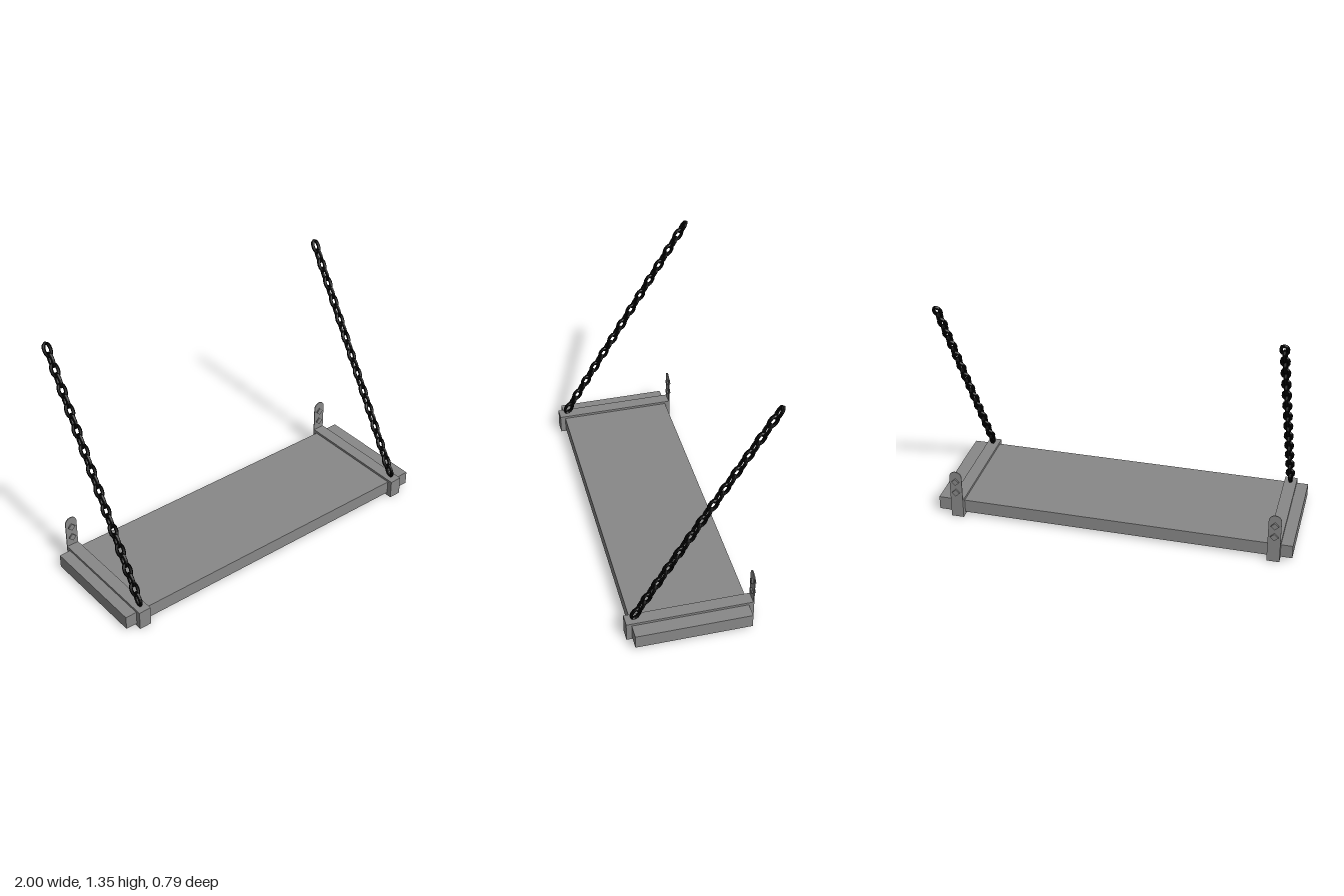
import * as THREE from 'three';

const steel = new THREE.MeshStandardMaterial({ color: 0x888888 });
const chainMaterial = new THREE.MeshStandardMaterial({ color: 0x040404, flatShading: true });

function add(parent, name, geometry, material, x = 0, y = 0, z = 0) {
  const mesh = new THREE.Mesh(geometry, material);
  mesh.name = name;
  mesh.position.set(x, y, z);
  parent.add(mesh);
  return mesh;
}

// Faceted oblong ring, long along y, lying in the xy plane, its wire a little deeper than wide
function linkGeometry(halfLength, halfWidth, wire) {
  const points = [];
  for (let i = 0; i < 10; i++) {
    const a = (i / 10) * Math.PI * 2;
    points.push(new THREE.Vector3(halfWidth * Math.cos(a), halfLength * Math.sin(a), 0));
  }
  const path = new THREE.CatmullRomCurve3(points, true);
  return new THREE.TubeGeometry(path, 12, wire, 6, true).scale(1, 1, 1.25);
}

// Upright tongue with a round top, standing on the strap
function tongueGeometry(halfWidth, bottom, top, thickness) {
  const shape = new THREE.Shape();
  shape.moveTo(-halfWidth, bottom);
  shape.lineTo(halfWidth, bottom);
  shape.absarc(0, top - halfWidth, halfWidth, 0, Math.PI, false);
  shape.closePath();
  return new THREE.ExtrudeGeometry(shape, { depth: thickness, bevelEnabled: false, curveSegments: 8 });
}

export function createModel() {
  const model = new THREE.Group();
  model.name = 'hangingShelf';

  add(model, 'board', new THREE.BoxGeometry(2, 0.077, 0.628), steel, 0, 0.056, 0.053);

  const strap = new THREE.BoxGeometry(0.07, 0.108, 0.686);
  const tongue = tongueGeometry(0.035, 0.1, 0.292, 0.005);
  const nut = new THREE.CylinderGeometry(0.022, 0.022, 0.022, 4).rotateX(Math.PI / 2);
  const link = linkGeometry(0.0355, 0.0185, 0.0088);

  for (const [side, x] of [['right', -0.9], ['left', 0.885]]) {
    // Strap around the board, with a bolted tongue at the back
    const bracket = new THREE.Group();
    bracket.name = side + 'Bracket';
    bracket.position.x = x;
    model.add(bracket);
    add(bracket, 'strap', strap, steel, 0, 0.054, 0.053);
    add(bracket, 'tongue', tongue, steel, 0, 0, -0.29);
    for (const y of [0.16, 0.229]) add(bracket, 'nut', nut, steel, 0, y, -0.2885);

    // Chain leaning back, each link turned a quarter from the last
    const chain = new THREE.Group();
    chain.name = side + 'Chain';
    chain.position.set(x, 0.146, 0.337);
    chain.rotation.x = -Math.atan2(0.0566, 0.0935);
    model.add(chain);
    for (let i = 0; i < 26; i++) {
      const ring = add(chain, 'link', link, chainMaterial, 0, i * 0.05465, 0);
      ring.rotation.y = i % 2 ? 0 : Math.PI / 2;
    }
  }
  return model;
}
